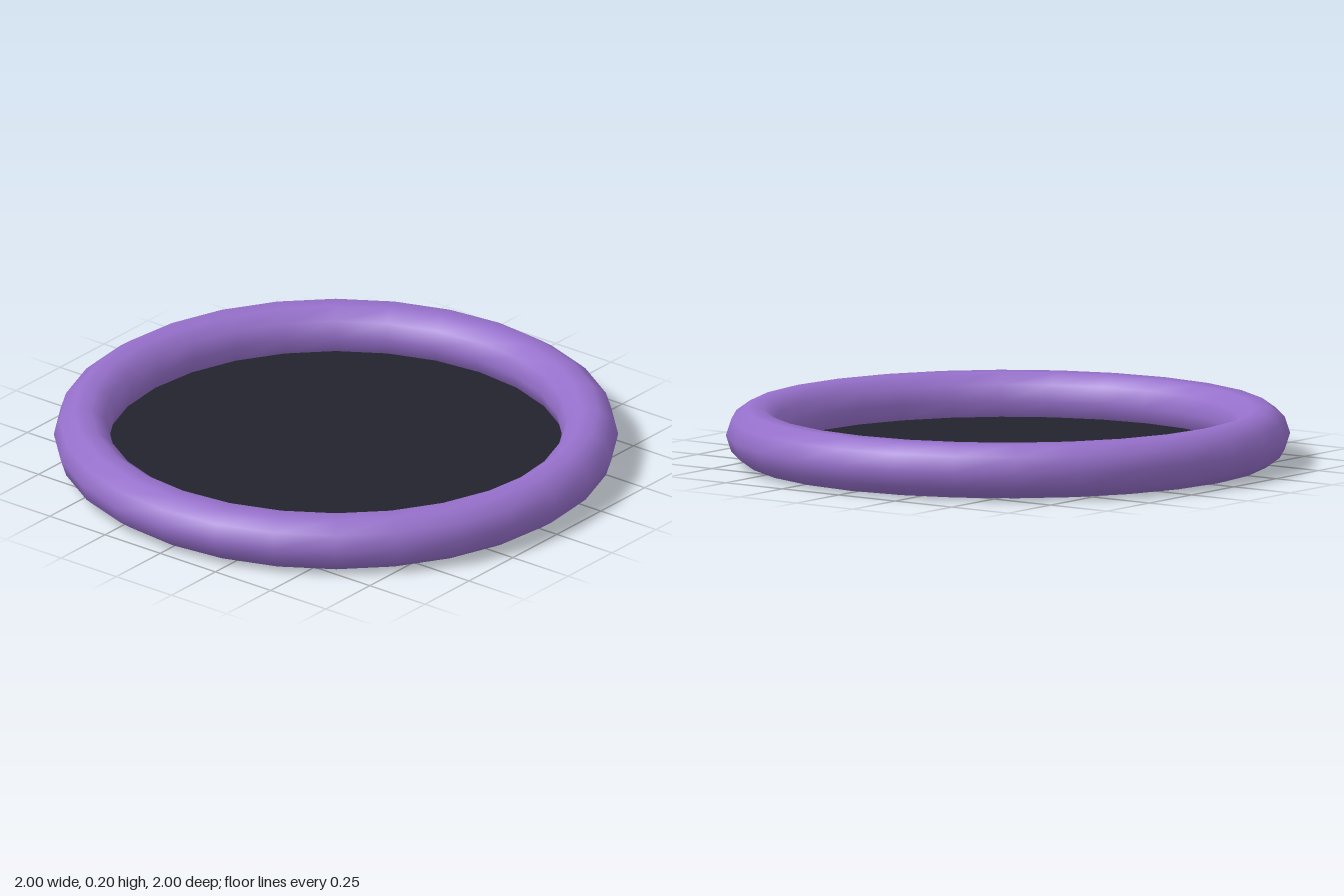
import * as THREE from 'three';

const SIDES = 28;

export function createModel() {
  const group = new THREE.Group();

  const add = (name, geometry, color, y) => {
    const mesh = new THREE.Mesh(geometry, new THREE.MeshStandardMaterial({ color }));
    mesh.name = name;
    mesh.position.y = y;
    group.add(mesh);
  };

  // Padded ring, lying flat
  add('ring', new THREE.TorusGeometry(0.9, 0.1, 10, SIDES).rotateX(-Math.PI / 2), 0x9670cb, 0.102);

  // Thin dark base disc tucked into the underside of the ring
  const thickness = 0.045;
  add('base', new THREE.CylinderGeometry(0.84, 0.84, thickness, SIDES), 0x23232d, thickness / 2);

  return group;
}
